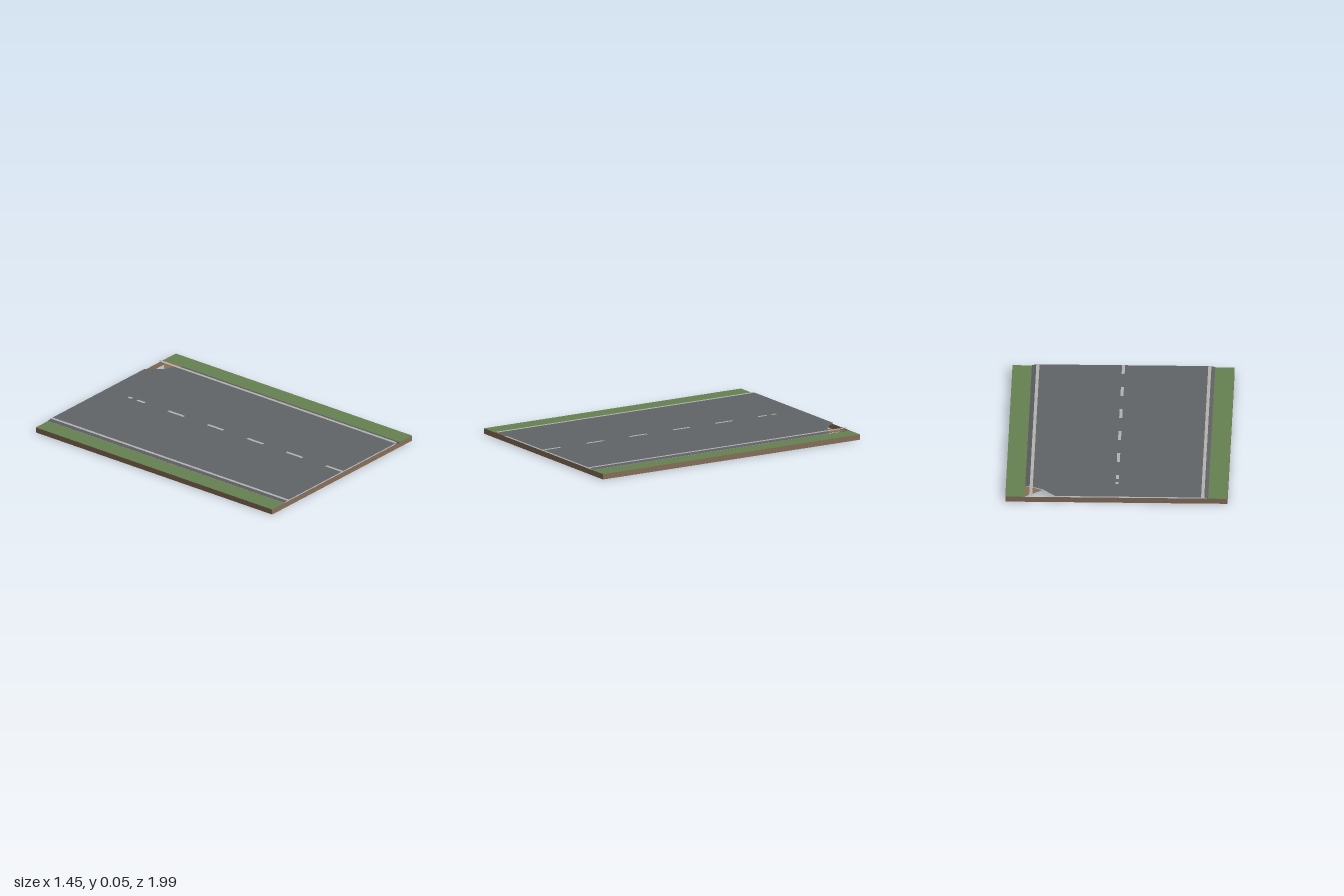
import * as THREE from 'three';

const mat = (name, color) => {
  const m = new THREE.MeshStandardMaterial({ color, side: THREE.DoubleSide });
  m.name = name;
  return m;
};

export function createModel() {
  const asphalt = mat('asphalt', 0x606468);
  const shoulderGrey = mat('shoulder grey', 0x5e5f64);
  const grass = mat('grass', 0x658151);
  const paint = mat('road paint', 0xb2b2ae);
  const dirt = mat('dirt', 0x876f58);

  const model = new THREE.Group();
  model.name = 'roadSection';
  const W = 0.727, ROAD = 0.6, L = 1, RIM = 0.036, TOP = 0.044;

  const add = (name, geometry, material) => {
    const mesh = new THREE.Mesh(geometry, material);
    mesh.name = name;
    model.add(mesh);
    return mesh;
  };

  // Upward facing sheet from [x, z] corners; height may depend on x
  const sheet = (name, corners, height, material) => {
    const shape = new THREE.Shape(corners.map(([x, z]) => new THREE.Vector2(x, -z)));
    const g = new THREE.ShapeGeometry(shape).rotateX(-Math.PI / 2);
    const p = g.attributes.position;
    for (let i = 0; i < p.count; i++) {
      p.setY(i, typeof height === 'function' ? height(p.getX(i)) : height);
    }
    g.computeVertexNormals();
    return add(name, g, material);
  };
  const strip = (name, x0, x1, z0, z1, height, material) =>
    sheet(name, [[x0, z1], [x1, z1], [x1, z0], [x0, z0]], height, material);

  // Road surface with a broken back corner
  const inner = 0.572;
  const breakZ = -0.855;
  sheet('roadSurface', [
    [-inner, 0.99], [inner, 0.99], [inner, breakZ], [0.485, -0.9], [0.4, -L], [-inner, -L],
  ], TOP, asphalt);

  // Shoulders slope down from the road to the verge
  const slope = (x) => (Math.abs(x) > 0.59 ? RIM + 0.001 : TOP);
  strip('rightShoulder', -ROAD, -inner, -L, 0.99, slope, shoulderGrey);
  sheet('leftShoulder', [[inner, 0.99], [ROAD, 0.99], [ROAD, -0.84], [inner, breakZ]], slope, shoulderGrey);

  // Dirt wedge left in the broken corner
  sheet('dirtWedge', [[0.485, -0.9], [ROAD, -0.84], [ROAD, -L]], 0.038, dirt);

  // Grass verges
  strip('rightVerge', -W, -ROAD, -L, 0.99, RIM, grass);
  strip('leftVerge', ROAD, W, -L, 0.99, RIM, grass);

  // Edge lines and centre dashes
  const paintY = TOP + 0.001;
  strip('rightEdgeLine', -0.575, -0.554, -L, 0.99, paintY, paint);
  strip('leftEdgeLine', 0.55, 0.571, -L, 0.99, paintY, paint);
  [
    [0.855, 0.99], [0.522, 0.657], [0.19, 0.325], [-0.142, -0.01],
    [-0.475, -0.34], [-0.735, -0.672], [-0.81, -0.778],
  ].forEach(([z0, z1]) => strip('centreDash', -0.01, 0.01, z0, z1, paintY, paint));

  // Open-bottomed dirt skirt: outer walls, ends and walls below the verge edges
  const wall = (name, width, y0, y1, x, z, turn) => {
    const m = add(name, new THREE.PlaneGeometry(width, y1 - y0), dirt);
    m.position.set(x, (y0 + y1) / 2, z);
    m.rotation.y = turn;
  };
  const mid = -0.005, length = 1.99;
  wall('frontSkirt', 2 * W, 0, RIM, 0, 0.99, 0);
  wall('backSkirt', 2 * W, 0, RIM, 0, -L, Math.PI);
  wall('leftSkirt', length, 0, RIM, W, mid, Math.PI / 2);
  wall('rightSkirt', length, 0, RIM, -W, mid, -Math.PI / 2);
  wall('leftInnerWall', length, 0.016, RIM, ROAD, mid, Math.PI / 2);
  wall('rightInnerWall', length, 0, RIM, -ROAD, mid, Math.PI / 2);

  // Centre along the length
  model.children.forEach((m) => { m.position.z += 0.005; });
  return model;
}
